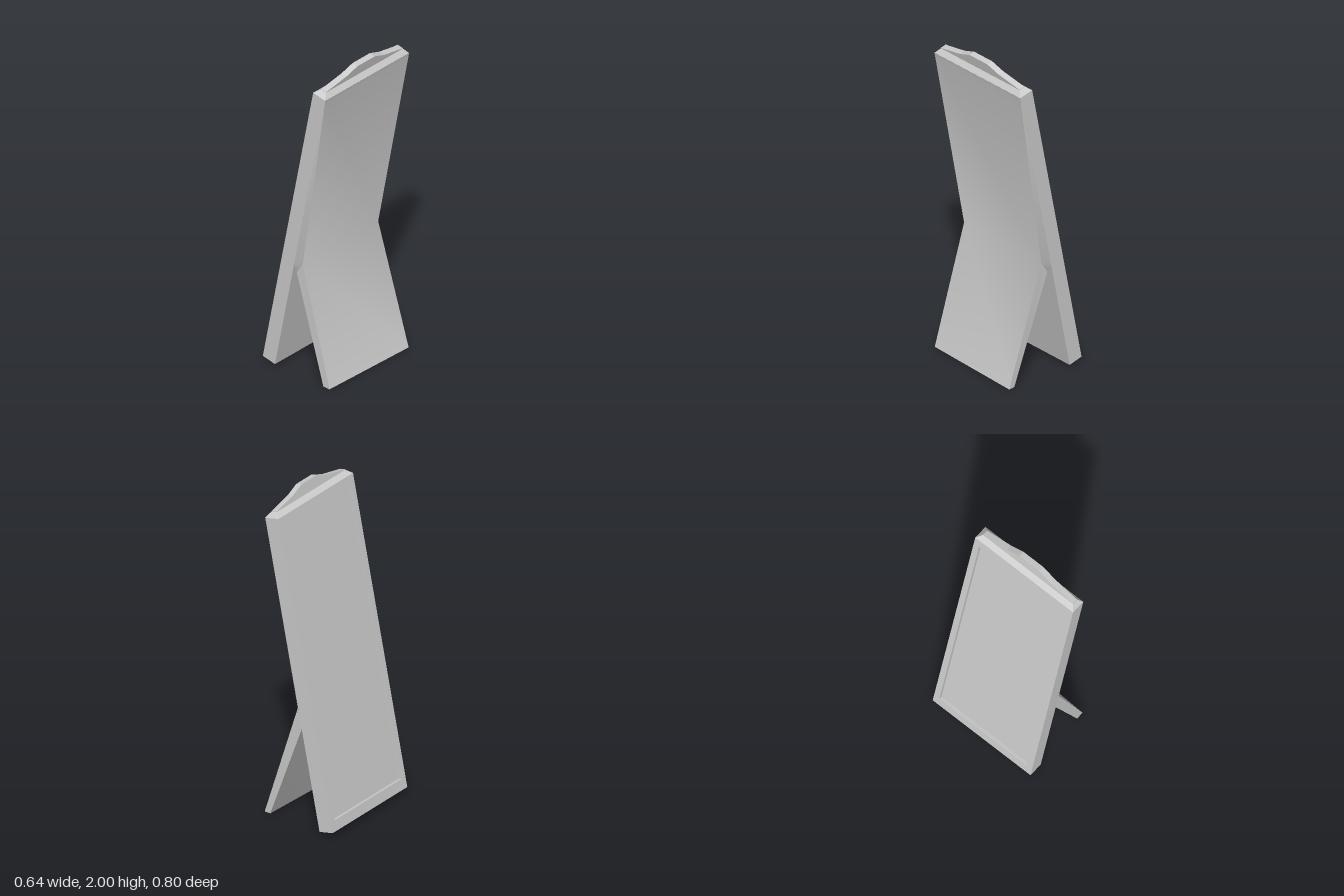
import * as THREE from 'three';
import { toCreasedNormals } from 'three/addons/utils/BufferGeometryUtils.js';

const material = new THREE.MeshStandardMaterial({ color: 0xcccccc });

function addMesh(parent, name, geometry) {
  const mesh = new THREE.Mesh(geometry, material);
  mesh.name = name;
  parent.add(mesh);
  return mesh;
}

// Extrudes a shape drawn across the width (z) and height (y) along x, centred.
function extrudeAlongX(shape, depth) {
  return new THREE.ExtrudeGeometry(shape, { depth, bevelEnabled: false })
    .translate(0, 0, -depth / 2)
    .rotateY(Math.PI / 2);
}

function rectangle(width, height, Type = THREE.Shape) {
  const w = width / 2, h = height / 2;
  return new Type([[-w, -h], [w, -h], [w, h], [-w, h]].map(p => new THREE.Vector2(...p)));
}

// Back skin running from the panel's top edge down to a bent-out support leg.
function standGeometry() {
  const near = {
    top: [0.221, 1.895, 0.356], edge: [-0.014, 0.73, 0.356], bend: [0.023, 0.73, 0.324],
    joint: [-0.025, 0.66, 0.322], footBack: [0.2365, 0, 0.337], footFront: [0.19, 0, 0.337],
  };
  const far = {
    top: [0.221, 1.895, -0.356], edge: [-0.014, 0.73, -0.356], bend: [0.023, 0.73, -0.316],
    joint: [-0.025, 0.66, -0.316], footBack: [0.261, 0, -0.307], footFront: [0.222, 0, -0.307],
  };
  const positions = [];
  const face = (...c) => {
    for (let i = 1; i < c.length - 1; i++) positions.push(...c[0], ...c[i], ...c[i + 1]);
  };
  // Strips across the width: back, leg, foot and underside
  const loop = ['top', 'bend', 'footBack', 'footFront', 'joint'];
  for (let i = 0; i < loop.length - 1; i++) {
    const a = loop[i], b = loop[i + 1];
    face(near[a], near[b], far[b], far[a]);
  }
  // Side faces and the slim webs joining the leg to the panel edges
  const sides = [['joint', 'footFront', 'footBack', 'bend'], ['top', 'edge', 'bend'], ['edge', 'joint', 'bend']];
  for (const side of sides) {
    face(...side.map(k => near[k]));
    face(...side.map(k => far[k]).reverse());
  }
  const geometry = new THREE.BufferGeometry();
  geometry.setAttribute('position', new THREE.Float32BufferAttribute(positions, 3));
  return toCreasedNormals(geometry, 0.6);
}

export function createModel() {
  const model = new THREE.Group();
  model.name = 'leaningMirror';
  model.rotation.y = -0.2126;

  const width = 0.712, height = 1.913, depth = 0.0934;
  const panel = new THREE.Group();
  panel.name = 'panel';
  panel.position.set(-0.0145, 0.965, 0);
  panel.rotation.z = -0.2;
  model.add(panel);

  // Frame with an opening, and the glass set back inside it
  const opening = { width: 0.636, height: 1.785 };
  const outline = rectangle(width, height);
  outline.holes.push(rectangle(opening.width, opening.height, THREE.Path));
  addMesh(panel, 'frame', extrudeAlongX(outline, depth));

  const recess = 0.02;
  const glass = new THREE.BoxGeometry(depth - recess, opening.height, opening.width);
  addMesh(panel, 'mirrorGlass', glass).position.x = recess / 2;

  // Bevelled cap on the top of the frame
  const bevelHeight = 0.028;
  const bevel = new THREE.BoxGeometry(depth, bevelHeight, width).toNonIndexed();
  const p = bevel.attributes.position;
  for (let i = 0; i < p.count; i++) {
    if (p.getY(i) > 0) {
      p.setX(i, p.getX(i) * 0.4);
      p.setZ(i, p.getZ(i) * 0.918);
    }
  }
  bevel.computeVertexNormals();
  addMesh(panel, 'topBevel', bevel).position.y = (height + bevelHeight) / 2;

  // Stepped crest rising to a flat peak
  const half = [[0.327, 0.975], [0.327, 0.987], [0.16, 1.02], [0.073, 1.0525]];
  const crest = [...half, ...half.map(([x, y]) => [-x, y]).reverse()];
  const crestShape = new THREE.Shape(crest.map(c => new THREE.Vector2(...c)));
  addMesh(panel, 'crest', extrudeAlongX(crestShape, 0.037));

  addMesh(model, 'backStand', standGeometry());

  const group = new THREE.Group();
  group.add(model);
  return group;
}
